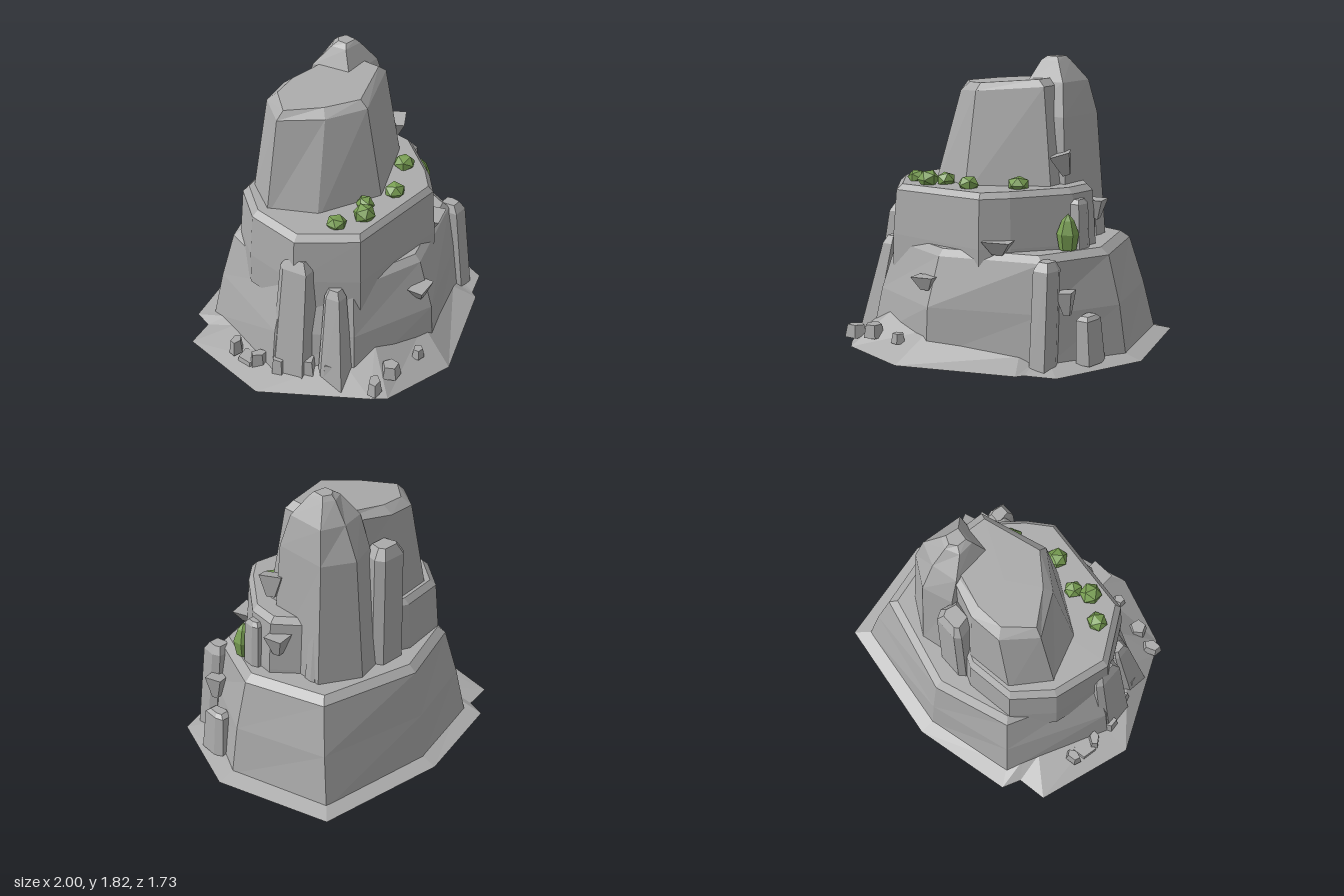
import * as THREE from 'three';

const stone = new THREE.MeshStandardMaterial({ color: 0xaaaaaa, flatShading: true, side: THREE.DoubleSide });
stone.name = 'stone';
const leaf = new THREE.MeshStandardMaterial({ color: 0x789e52, flatShading: true });
leaf.name = 'leaf';

// A ring of 3D points from [x, z, optional y] pairs
const ring = (pts, y, s = 1) =>
  pts.map(([x, z, py]) => [x * s, py ?? (typeof y === 'function' ? y(x, z) : y), z * s]);

// Skin neighbouring rings with flat faces, closing the first and last on request
function loft(rings, capStart = true, capEnd = true) {
  const n = rings[0].length;
  let area = 0;
  rings[0].forEach((p, i) => {
    const q = rings[0][(i + 1) % n];
    area += p[0] * q[2] - p[2] * q[0];
  });
  if (area < 0) rings = rings.map(r => [...r].reverse());
  const v = [];
  const tri = (a, b, c) => v.push(...a, ...b, ...c);
  for (let k = 0; k < rings.length - 1; k++)
    for (let i = 0; i < n; i++) {
      const j = (i + 1) % n, a = rings[k], b = rings[k + 1];
      tri(a[j], a[i], b[i]);
      tri(a[j], b[i], b[j]);
    }
  const mid = r => [0, 1, 2].map(c => r.reduce((t, p) => t + p[c], 0) / n);
  const first = rings[0], last = rings[rings.length - 1];
  for (let i = 0; i < n; i++) {
    const j = (i + 1) % n;
    if (capStart) tri(mid(first), first[i], first[j]);
    if (capEnd) tri(mid(last), last[j], last[i]);
  }
  const g = new THREE.BufferGeometry();
  g.setAttribute('position', new THREE.Float32BufferAttribute(v, 3));
  g.computeVertexNormals();
  return g;
}

export function createModel() {
  const model = new THREE.Group();
  model.name = 'rockOutcrop';
  const add = (name, geo, mat = stone) => {
    const m = new THREE.Mesh(geo, mat);
    m.name = name;
    model.add(m);
    return m;
  };

  // Sloping ground skirt, heaped up at the front
  const skirtOut = [[-.03, -.87], [.8, -.775], [1, -.06], [.78, .51], [.6, .57], [.57, .615],
    [-.115, .86], [-.575, .73], [-.64, .65], [-1, .065], [-.885, -.555], [-.7, -.59], [-.66, -.71]];
  const skirtIn = [[-.03, -.75, .115], [.7, -.67, .115], [.87, -.06, .115], [.66, .4, .115], [.58, .44, .12],
    [.5, .48, .15], [-.05, .62, .25], [-.42, .52, .29], [-.6, .42, .22], [-.78, .05, .14],
    [-.66, -.4, .14], [-.62, -.5, .14], [-.57, -.59, .115]];
  add('groundSkirt', loft([ring(skirtOut, .08), ring(skirtIn)], false, false));

  // Lower tier, an open shell below
  const base = [[-.03, -.775], [.725, -.695], [.895, -.06], [.64, .44], [-.03, .68], [-.6, .5], [-.83, .05], [-.6, -.62]];
  const waist = [[-.03, -.745], [.675, -.63], [.845, -.06], [.61, .41], [-.03, .66], [-.55, .46], [-.79, .05], [-.55, -.575]];
  const rim = [[-.02, -.695], [.61, -.56], [.765, -.06], [.58, .37], [-.02, .56], [-.48, .4], [-.69, .05], [-.49, -.52]];
  add('lowerTier', loft([ring(base, .09), ring(waist, .4), ring(rim, .69), ring(rim, .73, .93)], false));

  // Middle tier with a bevelled shelf, tapering down into the hollow
  const shelf = [[-.675, .12], [-.45, .43], [.215, .48], [.35, .36], [.585, .06], [.61, -.12],
    [.45, -.3], [0, -.45], [-.15, -.51], [-.45, -.46], [-.62, -.24]];
  const tilt = y => x => y + .03 * x;
  add('middleTier', loft([ring(shelf, .3, .64), ring(shelf, .55, 1.04), ring(shelf, .75, 1.035),
    ring(shelf, tilt(1.035)), ring(shelf, tilt(1.07), .94)]));

  // Broad summit block with a tilted top
  const blockBase = [[-.55, -.19], [-.42, .09], [-.04, .29], [.45, .08], [.46, -.3], [-.1, -.47], [-.4, -.42]];
  const blockTop = [[-.42, -.2], [-.26, .03], [-.04, .17], [.35, .02], [.36, -.3], [-.08, -.42], [-.28, -.39]];
  const blockCap = [[-.37, -.19], [-.22, -.01], [-.04, .12], [.3, 0], [.31, -.28], [-.07, -.36], [-.24, -.34]];
  add('summitBlock', loft([ring(blockBase, 1), ring(blockTop, x => 1.63 + .09 * x), ring(blockCap, x => 1.675 + .09 * x)]));

  // Tall spire behind the right side
  add('spire', loft([
    ring([[.5, -.01], [.52, -.42], [.28, -.55], [.03, -.48], [.1, 0]], .7),
    ring([[.45, -.04], [.465, -.39], [.28, -.49], [.1, -.42], [.14, -.05]], 1.48),
    ring([[.41, -.09], [.425, -.35], [.28, -.4], [.12, -.36], [.15, -.11]], 1.68),
    ring([[.33, -.16], [.34, -.28], [.27, -.31], [.19, -.27], [.2, -.17]], 1.8),
    ring([[.31, -.18], [.32, -.26], [.27, -.28], [.23, -.25], [.23, -.19]], 1.825)]));

  // Leaning pillars: foot x, z, bottom, top, half widths, lean in x and z, width kept near the top
  const pillars = [
    ['backPillar', .02, -.46, .7, 1.49, .115, .085, 0, 0, .93],
    ['spireSideRib', .5, -.35, .7, 1.28, .03, .04, -.05, 0, .6],
    ['leftPillar', -.74, .14, .1, .89, .095, .12, .11, -.02, .8],
    ['frontLeftPillar', -.66, .4, .1, .71, .08, .09, .1, -.07, .6],
    ['frontRightPillar', .63, .42, .09, .71, .07, .075, -.02, -.06, .95],
    ['rightStub', .8, .18, .1, .38, .06, .09, -.02, 0, .85],
    ['shelfPillar', .61, .02, .7, 1.02, .05, .06, -.01, 0, .9]];
  const hex = [[-1, -.6], [-.7, -1], [.7, -1], [1, -.3], [.8, 1], [-.7, 1]];
  for (const [name, x, z, y0, y1, wx, wz, lx, lz, keep] of pillars) {
    const level = (t, s) => hex.map(([a, b]) => [x + lx * t + a * wx * s, y0 + (y1 - y0) * t, z + lz * t + b * wz * s]);
    add(name, loft([level(0, 1), level(.92, keep), level(1, keep * .62)]));
  }

  // Wedge stones jutting from the walls: x, y, z, width, height, depth, turn, roll
  const wedges = [
    [-.08, .53, .61, .15, .08, .1, .1, .05], [.31, .76, .42, .17, .08, .13, .3, 0],
    [.7, .46, .29, .1, .14, .11, .3, .1], [.6, .93, -.17, .12, .12, .12, .2, 0],
    [.48, 1.21, 0, .12, .13, .14, .5, .3]];
  for (const [x, y, z, w, h, d, turn, roll] of wedges) {
    const m = add('wedgeStone', new THREE.CylinderGeometry(.7, .26, 1, 4).rotateY(Math.PI / 4));
    m.position.set(x, y, z);
    m.scale.set(w, h, d);
    m.rotation.set(0, turn, roll);
  }

  // Loose rubble around the foot and in the hollow: x, y, z, width, height, depth, turn
  const rubble = [
    [-.82, .17, -.24, .09, .09, .06, .2], [-.82, .13, -.06, .06, .14, .1, .9], [-.79, .15, .08, .12, .15, .09, .6],
    [-.72, .2, .24, .12, .1, .08, .9], [-.66, .19, .37, .12, .1, .09, .7], [-.6, .16, .65, .11, .08, .07, .5],
    [-.45, .19, .66, .1, .08, .1, .8], [-.22, .19, .7, .07, .06, .06, .4],
    [-.81, .07, -.13, .14, .13, .16, .2], [-.68, .1, -.06, .14, .12, .14, .5],
    [.74, .08, -.1, .16, .09, .18, .2], [.62, .1, -.02, .12, .11, .13, 1.3],
    [-.62, .16, .22, .2, .14, .16, .1], [-.45, .17, .38, .2, .14, .14, .7],
    [.6, .16, .2, .16, .14, .16, .4]];
  for (const [x, y, z, w, h, d, turn] of rubble) {
    const m = add('rubbleStone', new THREE.CylinderGeometry(.5, .66, 1, 5));
    m.position.set(x, y, z);
    m.scale.set(w, h, d);
    m.rotation.y = turn;
  }

  // Low bushes along the shelf: x, y, z, half sizes
  const bushes = [
    [-.435, 1.075, .245, .064, .048, .064], [-.28, 1.09, .33, .07, .06, .07], [-.19, 1.085, .27, .056, .054, .062],
    [.025, 1.09, .33, .067, .054, .067], [.3, 1.1, .205, .07, .053, .07]];
  bushes.forEach(([x, y, z, a, b, c], i) => {
    const m = add('shelfBush', new THREE.IcosahedronGeometry(1, 0), leaf);
    m.position.set(x, y, z);
    m.scale.set(a, b, c);
    m.rotation.y = i * 1.3;
  });

  // Tall pointed bush on the right ledge
  const profile = [[0, 0], [.05, .005], [.066, .1], [.036, .18], [0, .22]].map(p => new THREE.Vector2(...p));
  add('tallBush', new THREE.LatheGeometry(profile, 6), leaf).position.set(.6, .73, .13);
  return model;
}
